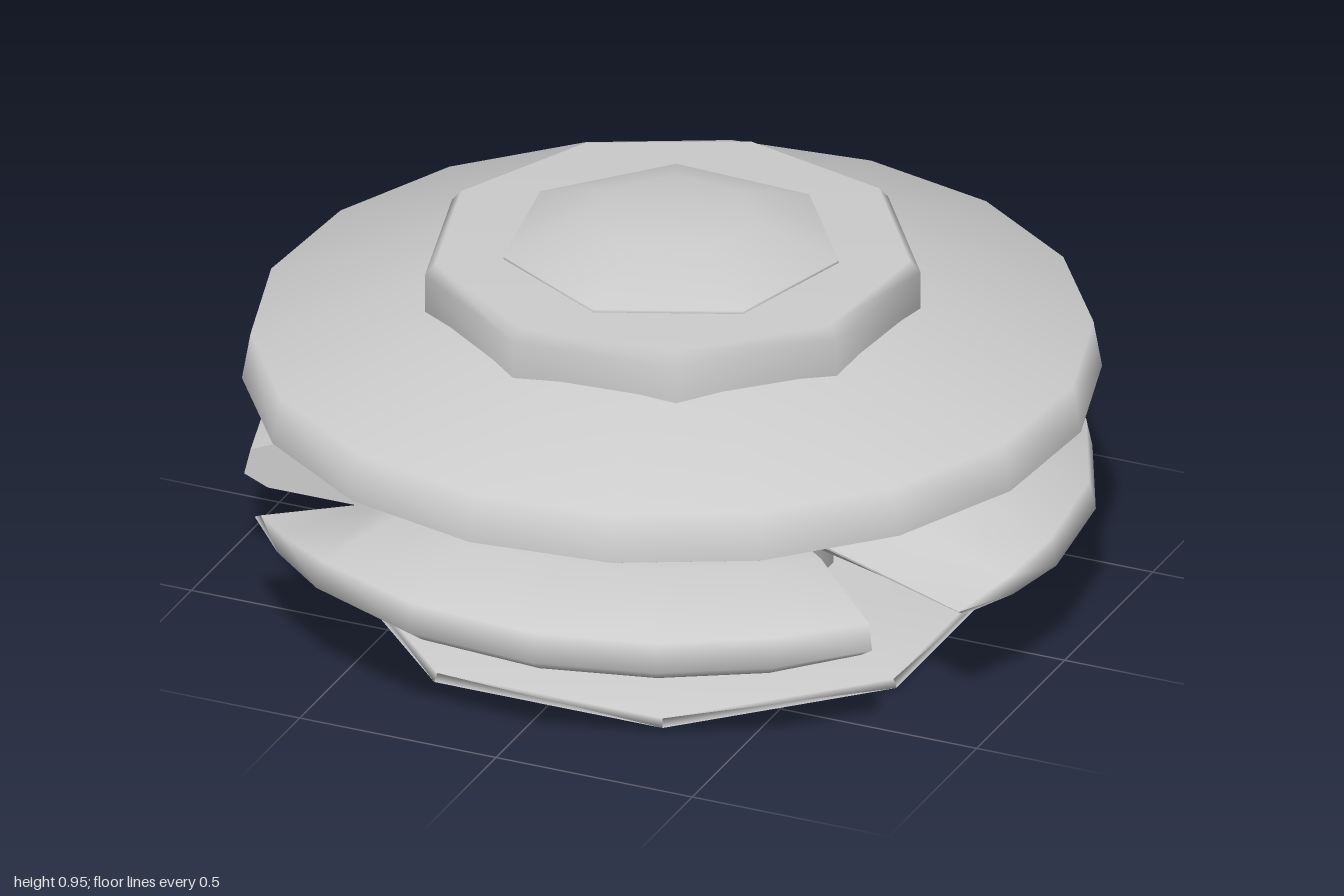
import * as THREE from 'three';

const material = new THREE.MeshStandardMaterial({ color: 0xcccccc, side: THREE.DoubleSide });
const rad = THREE.MathUtils.degToRad;

// Turned part: [radius, height] profile, number of sides, angle of the first corner
function turned(name, profile, sides, startDeg) {
  const points = profile.map(([r, y]) => new THREE.Vector2(r, y));
  const mesh = new THREE.Mesh(new THREE.LatheGeometry(points, sides, rad(startDeg)), material);
  mesh.name = name;
  return mesh;
}

// Curved blade: a cross-section swept round the axis, from a sharp edge to a blunt end
function bladeGeometry() {
  const section = [[0.36, 0.17], [0.72, 0.17], [0.94, 0.22], [0.995, 0.26], [0.98, 0.33], [0.74, 0.4], [0.36, 0.4]];
  // [angle, height scale] of each station
  const stations = [[-53, 0.02], [-43, 0.55], [-32, 0.95], [-14, 1], [5, 1], [22, 1], [38, 1], [52, 0.9]];
  const n = section.length;
  const position = [];
  const index = [];
  const addRing = ([deg, scale]) => {
    for (const [r, y] of section) {
      position.push(r * Math.sin(rad(deg)), 0.28 + (y - 0.28) * scale, r * Math.cos(rad(deg)));
    }
  };
  stations.forEach(addRing);
  for (let s = 0; s < stations.length - 1; s++) {
    for (let i = 0; i < n; i++) {
      const a = s * n + i;
      const d = s * n + (i + 1) % n;
      index.push(a, a + n, d, a + n, d + n, d);
    }
  }
  // Caps use their own corners so that their edges stay crisp
  for (const start of [true, false]) {
    const base = position.length / 3;
    addRing(stations[start ? 0 : stations.length - 1]);
    for (let i = 1; i < n - 1; i++) {
      if (start) index.push(base, base + i, base + i + 1);
      else index.push(base, base + i + 1, base + i);
    }
  }
  const geometry = new THREE.BufferGeometry();
  geometry.setAttribute('position', new THREE.Float32BufferAttribute(position, 3));
  geometry.setIndex(index);
  geometry.computeVertexNormals();
  return geometry;
}

export function createModel() {
  const model = new THREE.Group();
  model.name = 'bladedDisc';

  // Foot and central column
  model.add(turned('base', [[0, 0], [0.76, 0], [0.75, 0.02], [0.46, 0.08], [0, 0.08]], 8, 22.5));
  model.add(turned('column', [[0.38, 0.04], [0.38, 0.55]], 12, 15));

  // Three blades round the column
  const blade = bladeGeometry();
  for (let k = 0; k < 3; k++) {
    const mesh = new THREE.Mesh(blade, material);
    mesh.name = 'blade' + (k + 1);
    mesh.rotation.y = k * Math.PI * 2 / 3;
    model.add(mesh);
  }

  // Wide sloping brim, raised crown and the low cap on top
  model.add(turned('brim', [[0, 0.54], [0.99, 0.54], [1, 0.545], [0.98, 0.66], [0.54, 0.77]], 18, -4));
  model.add(turned('crown', [[0.585, 0.75], [0.585, 0.85], [0.56, 0.878], [0, 0.878]], 9, 25));
  model.add(turned('cap', [[0.4, 0.878], [0.4, 0.885], [0.2, 0.955], [0, 0.955]], 7, -3));

  return model;
}
